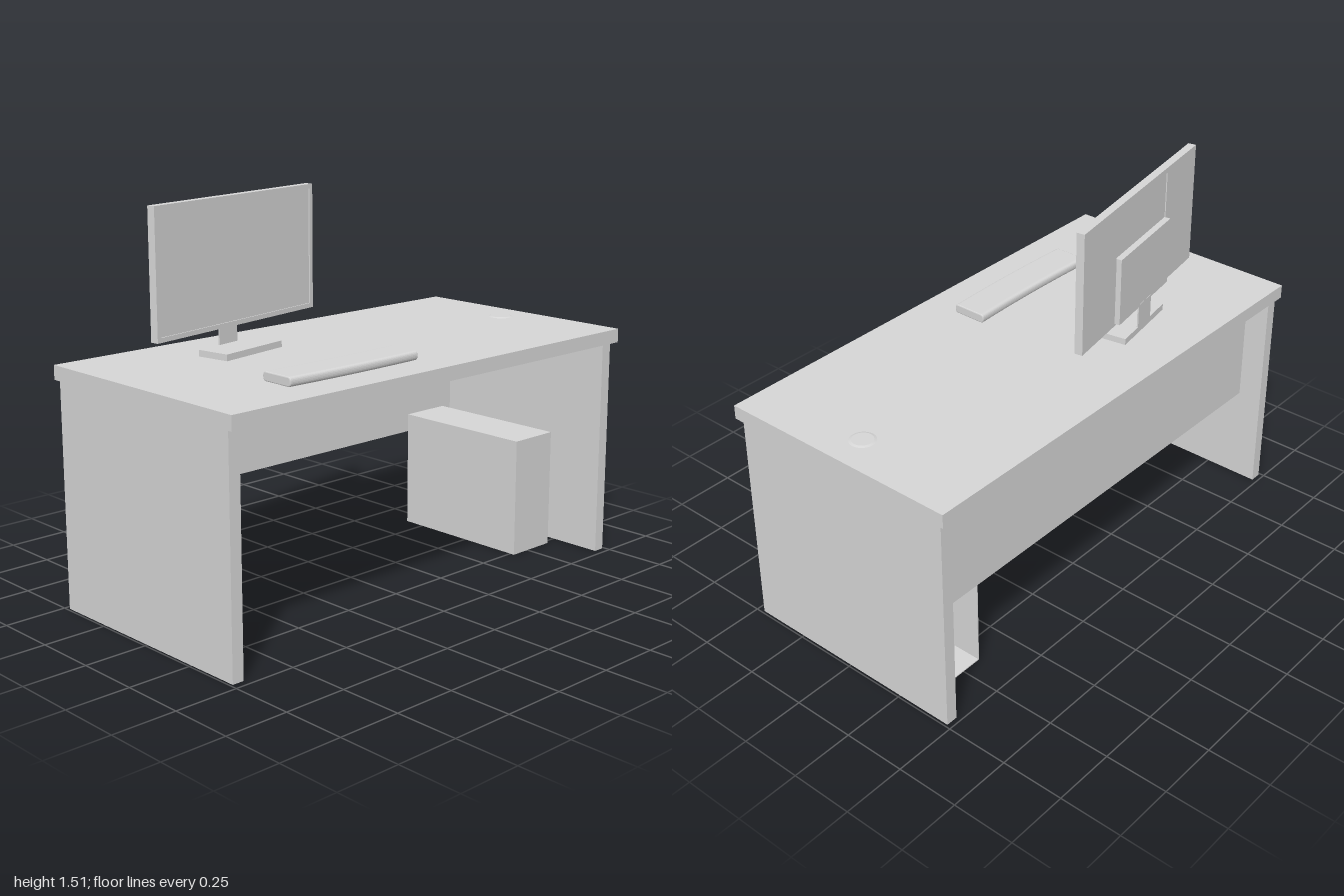
import * as THREE from 'three';

const grey = new THREE.MeshStandardMaterial({ color: 0xd6d6d6, side: THREE.DoubleSide });
grey.name = 'light grey';

function add(parent, name, geometry, x = 0, y = 0, z = 0) {
  const mesh = new THREE.Mesh(geometry, grey);
  mesh.name = name;
  mesh.position.set(x, y, z);
  parent.add(mesh);
  return mesh;
}

// Box given by its min and max on each axis
function box(parent, name, [x0, x1], [y0, y1], [z0, z1]) {
  return add(parent, name, new THREE.BoxGeometry(x1 - x0, y1 - y0, z1 - z0),
    (x0 + x1) / 2, (y0 + y1) / 2, (z0 + z1) / 2);
}

function corners([x0, x1], [y0, y1]) {
  return [[x0, y0], [x1, y0], [x1, y1], [x0, y1]].map(p => new THREE.Vector2(...p));
}

// Flat plate with a rectangular opening
function frame(parent, name, outer, inner, [z0, z1]) {
  const shape = new THREE.Shape(corners(...outer));
  shape.holes.push(new THREE.Path(corners(...inner).reverse()));
  add(parent, name, new THREE.ExtrudeGeometry(shape, { depth: z1 - z0, bevelEnabled: false }), 0, 0, z0);
}

function createDesk() {
  const desk = new THREE.Group();
  desk.name = 'desk';
  box(desk, 'deskTop', [-1, 1], [0.875, 0.93], [-0.5, 0.5]);
  box(desk, 'leftSidePanel', [0.943, 0.99], [0, 0.875], [-0.48, 0.47]);
  box(desk, 'rightSidePanel', [-0.99, -0.943], [0, 0.875], [-0.48, 0.47]);
  box(desk, 'modestyPanel', [-0.943, 0.943], [0.4, 0.875], [-0.38, -0.355]);
  // low cable grommet cover
  add(desk, 'cableGrommet', new THREE.CylinderGeometry(0.04, 0.05, 0.003, 32), 0.86, 0.9315, 0);
  return desk;
}

// Computer case, open at the back
function createTower() {
  const tower = new THREE.Group();
  tower.name = 'computerTower';
  const [x0, x1, z0, z1, h, t] = [0.665, 0.88, -0.34, 0.27, 0.48, 0.004];
  box(tower, 'towerFront', [x0, x1], [0, h], [z1 - t, z1]);
  box(tower, 'towerTop', [x0, x1], [h - t, h], [z0, z1 - t]);
  box(tower, 'towerBottom', [x0, x1], [0, t], [z0, z1 - t]);
  box(tower, 'towerLeftSide', [x1 - t, x1], [t, h - t], [z0, z1 - t]);
  box(tower, 'towerRightSide', [x0, x0 + t], [t, h - t], [z0, z1 - t]);
  return tower;
}

function createMonitor() {
  const monitor = new THREE.Group();
  monitor.name = 'monitor';
  const w = 0.442, y0 = 1.03, y1 = 1.515, b = 0.018;
  const outline = [[-w, w], [y0, y1]];

  // screen sits back inside the bezel, and the back has a shallow recess
  frame(monitor, 'monitorBezel', outline, [[-w + b, w - b], [y0 + b, y1 - b]], [0.01, 0.015]);
  box(monitor, 'monitorBody', ...outline, [-0.013, 0.01]);
  frame(monitor, 'monitorBack', outline, [[-0.2, 0.195], [1.04, 1.495]], [-0.017, -0.013]);
  box(monitor, 'backHousing', [-0.2, 0.195], [1.04, 1.31], [-0.038, -0.013]);

  // stand
  box(monitor, 'standNeck', [-0.06, 0.04], [0.953, 1.05], [-0.039, -0.033]);
  box(monitor, 'standBase', [-0.17, 0.144], [0.93, 0.955], [-0.039, 0.098]);

  monitor.position.set(-0.36, 0, -0.24);
  monitor.rotation.y = 0.167;
  return monitor;
}

// Rounded slab bowed gently towards the user
function createKeyboard() {
  const half = 0.31, [d, h, r] = [0.072, 0.018, 0.015];
  const section = new THREE.Shape();
  section.moveTo(-d + r, -h);
  section.lineTo(d - r, -h);
  section.quadraticCurveTo(d, -h, d, 0);
  section.quadraticCurveTo(d, h, d - r, h);
  section.lineTo(-d + r, h);
  section.quadraticCurveTo(-d, h, -d, 0);
  section.quadraticCurveTo(-d, -h, -d + r, -h);
  const slab = new THREE.ExtrudeGeometry(section, {
    depth: 2 * half - 0.008, steps: 12, curveSegments: 6,
    bevelEnabled: true, bevelThickness: 0.004, bevelSize: 0.004, bevelOffset: -0.004, bevelSegments: 2,
  });
  slab.translate(0, 0, -half + 0.004);
  slab.rotateY(-Math.PI / 2);
  const p = slab.attributes.position;
  for (let i = 0; i < p.count; i++) {
    const u = p.getX(i) / half;
    p.setZ(i, p.getZ(i) + 0.007 * (1 - u * u) - 0.0035);
  }
  slab.computeVertexNormals();
  return slab;
}

export function createModel() {
  const model = new THREE.Group();
  model.name = 'officeDesk';
  model.add(createDesk(), createTower(), createMonitor());
  add(model, 'keyboard', createKeyboard(), -0.31, 0.948, 0.285);
  return model;
}
